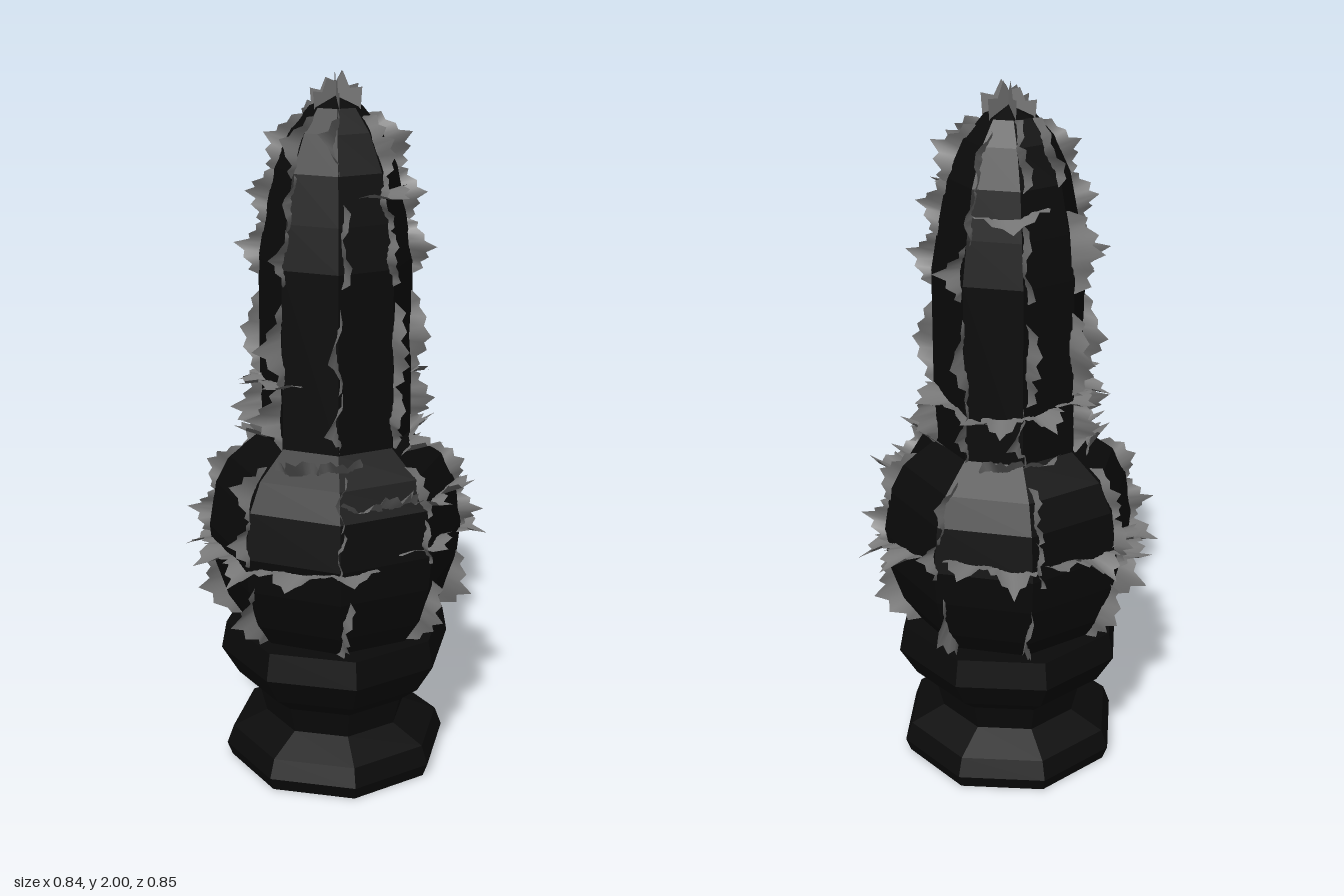
import * as THREE from 'three';

const dark = new THREE.MeshStandardMaterial({ color: 0x0a0a0a, flatShading: true });
const leafMat = new THREE.MeshStandardMaterial({ color: 0x777777, side: THREE.DoubleSide });

// radius, height pairs
const POT = [[0, 0], [0.31, 0], [0.325, 0.04], [0.305, 0.095], [0.205, 0.14], [0.225, 0.22],
  [0.285, 0.27], [0.335, 0.355], [0.32, 0.435], [0, 0.435]];
const BODY = [[0.25, 0.41], [0.31, 0.5], [0.35, 0.62], [0.36, 0.72], [0.34, 0.85], [0.3, 0.93],
  [0.21, 1.0], [0.21, 1.5], [0.19, 1.62], [0.165, 1.75], [0.12, 1.85], [0.07, 1.91], [0, 1.935]];

// heights of the teeth along one leaf
const TEETH = [0.1, 0.5, 0.42, 0.8, 0.7, 1.1, 0.62, 0.72, 0.4, 0.48, 0.1];

let seed = 7;
const rand = () => (seed = (seed * 16807) % 2147483647) / 2147483647;

function lathe(name, profile, start) {
  const pts = profile.map(([r, y]) => new THREE.Vector2(r, y));
  const mesh = new THREE.Mesh(new THREE.LatheGeometry(pts, 8, start), dark);
  mesh.name = name;
  return mesh;
}

function radiusAt(y) {
  for (let i = 1; i < BODY.length; i++) {
    const [r0, y0] = BODY[i - 1], [r1, y1] = BODY[i];
    if (y <= y1) return r0 + (r1 - r0) * Math.max(0, (y - y0) / (y1 - y0));
  }
  return 0;
}

// point at a height above the body surface, angle measured from +z towards +x
function onSurface(angle, y, height) {
  const e = 0.05;
  const slope = (radiusAt(y + e) - radiusAt(y - e)) / (2 * e);
  const len = Math.hypot(1, slope);
  const r = radiusAt(y) * 0.96 + height / len;
  return [Math.sin(angle) * r, y - height * slope / len, Math.cos(angle) * r];
}

// row of n thin toothed leaves standing on the body between two surface points
function leafRow(a0, y0, a1, y1, n, size) {
  const pos = [], idx = [];
  const flat = Math.abs(y1 - y0) < 0.1;
  for (let k = 0; k < n; k++) {
    const base = pos.length / 3;
    const h = size * (0.85 + 0.3 * rand()), curl = (rand() - 0.5) * 0.07;
    const flip = rand() < 0.5;
    TEETH.forEach((v, i) => {
      const t = i / (TEETH.length - 1);
      const tooth = v * h * (0.9 + 0.2 * rand());
      const s = (k + (flip ? 1 - t : t) * 1.08 - 0.04) / n;
      const a = THREE.MathUtils.degToRad(a0 + (a1 - a0) * s), y = y0 + (y1 - y0) * s;
      const bend = curl * v + 0.012 * Math.sin(t * 9);
      const r = Math.max(radiusAt(y), 0.06);
      pos.push(...onSurface(a, y, -0.025));
      pos.push(...(flat ? onSurface(a, y + bend, tooth) : onSurface(a + bend / r, y, tooth)));
      if (i) {
        const p = base + 2 * i;
        idx.push(p - 2, p - 1, p, p - 1, p + 1, p);
      }
    });
  }
  const geo = new THREE.BufferGeometry();
  geo.setAttribute('position', new THREE.Float32BufferAttribute(pos, 3));
  geo.setIndex(idx);
  geo.computeVertexNormals();
  const mesh = new THREE.Mesh(geo, leafMat);
  mesh.name = 'leafRow';
  return mesh;
}

// upright leaves: eight ribs up the plant, alternately single large leaves and chains
function ribLeaves() {
  const group = new THREE.Group();
  group.name = 'ribLeaves';
  for (let i = 0; i < 8; i++) {
    const a = i * 45, large = i === 1 || i === 5 || i === 6;
    const row = (y0, y1, n, size) =>
      group.add(leafRow(a + 6 * (rand() - 0.5), y0, a + 6 * (rand() - 0.5), y1, n, size));
    row(0.44, 0.63, 1, 0.075);
    row(0.7, 0.95, 2, 0.065);
    row(1.0, 1.17, 1, 0.08);
    row(1.18, 1.4, 1, large ? 0.1 : 0.075);
    if (large) {
      row(1.47, 1.67, 1, 0.1);
      row(1.75, 1.9, 1, 0.08);
    } else {
      row(1.46, 1.88, 3, 0.065);
    }
  }
  return group;
}

// flat leaf rows: start angle, end angle, start height, end height, leaf count
const BANDS = [
  [-88, 62, 0.67, 0.71, 6], [45, 125, 0.88, 0.85, 4], [75, 105, 0.74, 0.75, 1],
  [130, 170, 0.7, 0.74, 2], [-175, -70, 0.76, 0.74, 5], [-75, -25, 0.97, 1.01, 2],
  [5, 60, 0.95, 0.97, 2], [95, 150, 0.98, 1.0, 2], [-165, -105, 0.98, 1.0, 2],
  [-165, 15, 1.13, 1.18, 6], [135, 205, 1.17, 1.1, 2], [65, 112, 1.69, 1.7, 1],
  [-175, -110, 1.68, 1.7, 1],
];

function bandLeaves() {
  const group = new THREE.Group();
  group.name = 'bandLeaves';
  for (const [a0, a1, y0, y1, n] of BANDS) group.add(leafRow(a0, y0, a1, y1, n, 0.078));
  return group;
}

// small upright leaves crossing at the crown
function crownLeaves() {
  const group = new THREE.Group();
  group.name = 'crownLeaves';
  const outline = [[-0.07, -0.04], [-0.075, 0.02], [-0.045, 0.015], [-0.03, 0.05], [0, 0.04],
    [0.02, 0.068], [0.04, 0.025], [0.075, 0.03], [0.07, -0.04]];
  const shape = new THREE.Shape(outline.map(([x, y]) => new THREE.Vector2(x, y)));
  for (let i = 0; i < 3; i++) {
    const leaf = new THREE.Mesh(new THREE.ShapeGeometry(shape), leafMat);
    leaf.name = 'crownLeaf';
    leaf.position.y = 1.932;
    leaf.rotation.y = 0.35 + i * Math.PI / 3;
    group.add(leaf);
  }
  return group;
}

export function createModel() {
  const model = new THREE.Group();
  model.name = 'pottedPlant';
  model.add(lathe('pot', POT, 0.14), lathe('plantBody', BODY, 0));
  model.add(ribLeaves(), bandLeaves(), crownLeaves());
  return model;
}
